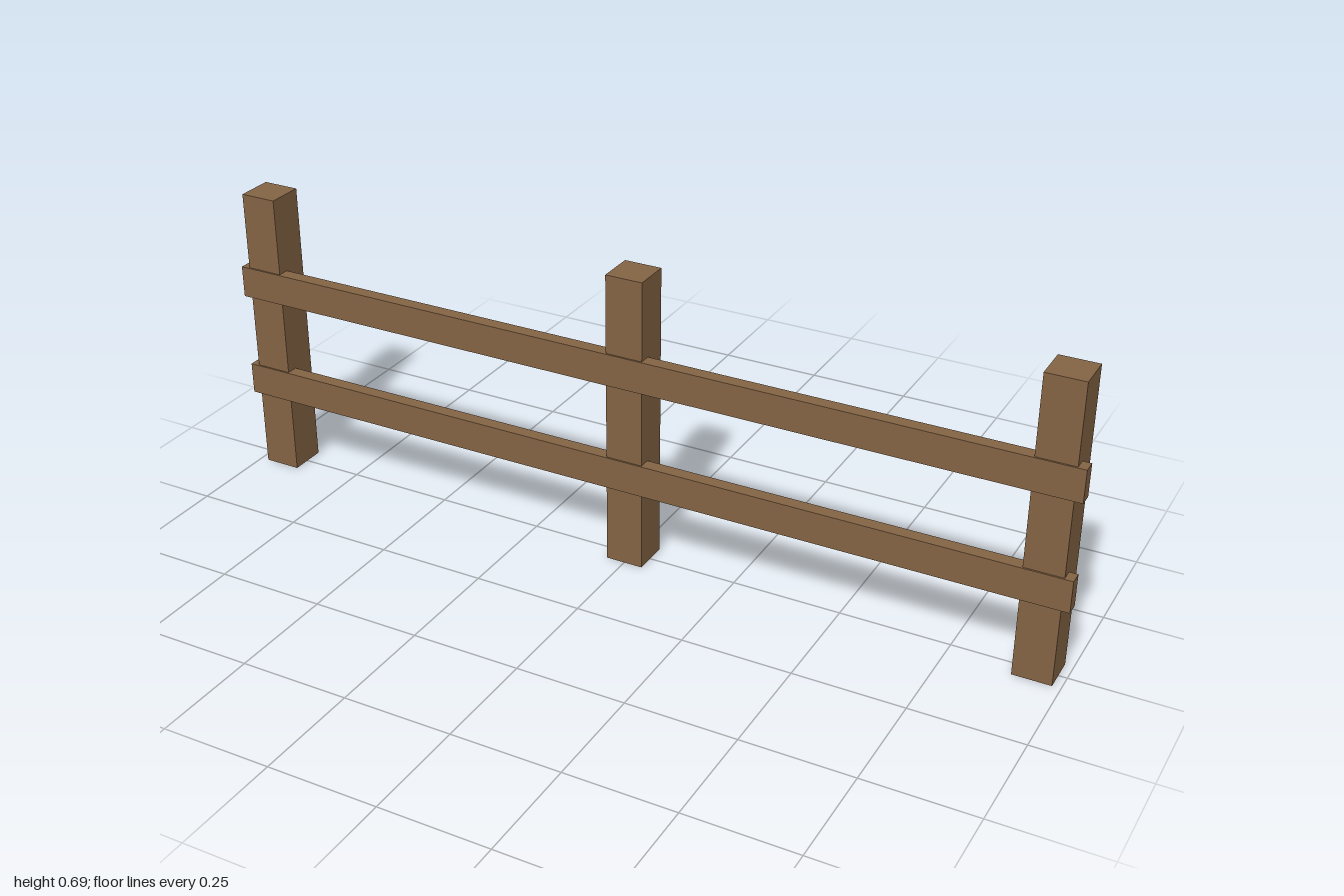
import * as THREE from 'three';

export function createModel() {
  const fence = new THREE.Group();
  fence.name = 'fence';
  const wood = new THREE.MeshStandardMaterial({ color: 0x836343 });
  wood.name = 'brown wood';

  const addBeam = (name, size, position) => {
    const mesh = new THREE.Mesh(new THREE.BoxGeometry(...size), wood);
    mesh.name = name;
    mesh.position.set(...position);
    fence.add(mesh);
  };

  // Three square upright posts
  const postHeight = 0.688;
  for (const [name, x] of [['rightPost', -0.938], ['middlePost', 0], ['leftPost', 0.938]]) {
    addBeam(name, [0.086, postHeight, 0.086], [x, postHeight / 2, -0.002]);
  }

  // Two long rails let into the front of the posts, standing slightly proud
  for (const [name, y] of [['lowerRail', 0.22], ['upperRail', 0.47]]) {
    addBeam(name, [2, 0.074, 0.031], [0, y, 0.0295]);
  }

  return fence;
}
